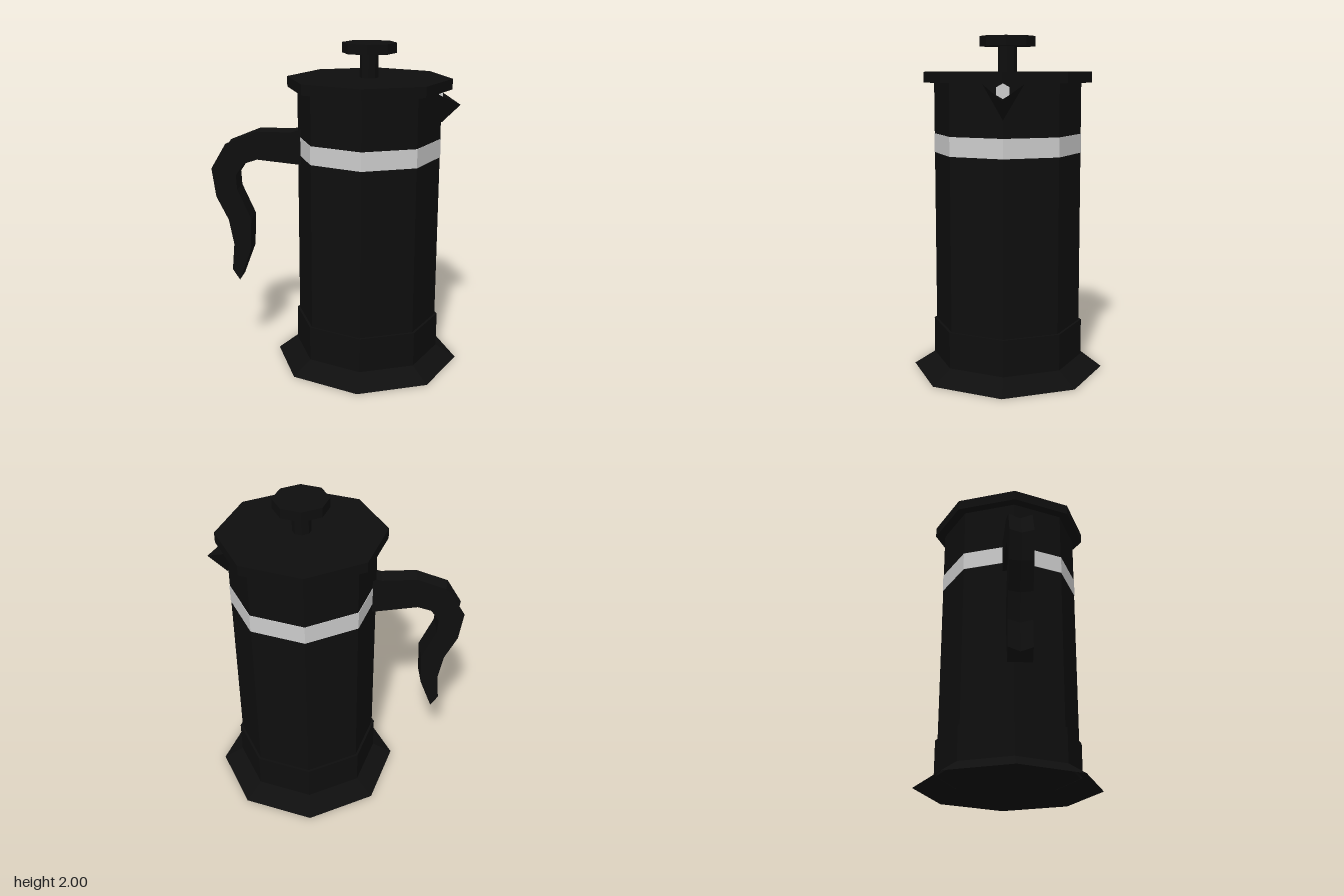
import * as THREE from 'three';

const AXIS = 0.197; // x of the pot's centre line
const black = new THREE.MeshStandardMaterial({ color: 0x0e0e0e, flatShading: true, side: THREE.DoubleSide });
const grey = new THREE.MeshStandardMaterial({ color: 0xcccccc, flatShading: true });

function add(group, name, geometry, material, x = 0, y = 0, z = 0) {
  const mesh = new THREE.Mesh(geometry, material);
  mesh.name = name;
  mesh.position.set(x, y, z);
  group.add(mesh);
  return mesh;
}

// Octagonal prism between two heights, corners on the axes
function prism(group, name, material, r, y0, y1) {
  return add(group, name, new THREE.CylinderGeometry(r, r, y1 - y0, 8), material, AXIS, (y0 + y1) / 2);
}

// Handle: sections of [outer x, outer y, inner x, inner y], grooved along the outside
function handleGeometry() {
  const sections = [
    [-0.21, 1.48, -0.21, 1.26], [-0.27, 1.46, -0.27, 1.265], [-0.485, 1.46, -0.485, 1.285],
    [-0.68, 1.38, -0.57, 1.255], [-0.775, 1.22, -0.62, 1.18], [-0.75, 1.04, -0.615, 1.09],
    [-0.675, 0.89, -0.53, 0.9], [-0.645, 0.73, -0.54, 0.69], [-0.66, 0.56, -0.615, 0.49],
  ];
  const half = 0.07, groove = 0.025, n = 5;
  const positions = [], index = [];
  for (const [ox, oy, ix, iy] of sections) {
    const t = groove / Math.hypot(ix - ox, iy - oy);
    positions.push(
      ox, oy, half,
      ox + (ix - ox) * t, oy + (iy - oy) * t, 0,
      ox, oy, -half,
      ix, iy, -half,
      ix, iy, half,
    );
  }
  for (let s = 0; s < sections.length - 1; s++) {
    for (let i = 0; i < n; i++) {
      const a = s * n + i, b = s * n + (i + 1) % n;
      index.push(a, b, a + n, b, b + n, a + n);
    }
  }
  // End caps fan out from the groove
  const e = (sections.length - 1) * n;
  for (const [i, j] of [[2, 3], [3, 4], [4, 0]]) {
    index.push(1, i, j, e + 1, e + j, e + i);
  }
  // Outward winding
  for (let k = 0; k < index.length; k += 3) [index[k + 1], index[k + 2]] = [index[k + 2], index[k + 1]];
  const g = new THREE.BufferGeometry();
  g.setAttribute('position', new THREE.Float32BufferAttribute(positions, 3));
  g.setIndex(index);
  g.computeVertexNormals();
  return g;
}

// Pouring lip: two sloping sheets meeting in a keel
function spoutGeometry() {
  const g = new THREE.BufferGeometry();
  g.setAttribute('position', new THREE.Float32BufferAttribute([
    0.59, 1.725, 0.115, 0.635, 1.53, 0, 0.745, 1.64, 0,
    0.59, 1.725, -0.115, 0.745, 1.64, 0, 0.635, 1.53, 0,
  ], 3));
  g.computeVertexNormals();
  return g;
}

export function createModel() {
  const model = new THREE.Group();
  model.name = 'coffeePress';

  // Flared foot, open underneath, with an upright rim around the body
  const foot = [[0.575, 0], [0.45, 0.08], [0.45, 0.295], [0.43, 0.295]];
  add(model, 'foot', new THREE.LatheGeometry(foot.map(([r, y]) => new THREE.Vector2(r, y)), 8), black, AXIS);

  // Body and metal band
  prism(model, 'body', black, 0.435, 0.075, 1.74);
  prism(model, 'band', grey, 0.438, 1.318, 1.43);

  // Lid and plunger
  prism(model, 'lid', black, 0.497, 1.73, 1.793);
  prism(model, 'plungerStem', black, 0.056, 1.79, 1.945);
  prism(model, 'plungerKnob', black, 0.164, 1.94, 2.0);

  // Spout with the small strainer behind its lip
  add(model, 'spout', spoutGeometry(), black);
  const strainer = add(model, 'strainer', new THREE.CylinderGeometry(0.042, 0.042, 0.03, 6), grey, 0.624, 1.688, 0);
  strainer.rotation.z = Math.PI / 2;
  strainer.rotation.x = 0;
  strainer.geometry.rotateY(Math.PI / 2);

  add(model, 'handle', handleGeometry(), black);
  return model;
}
